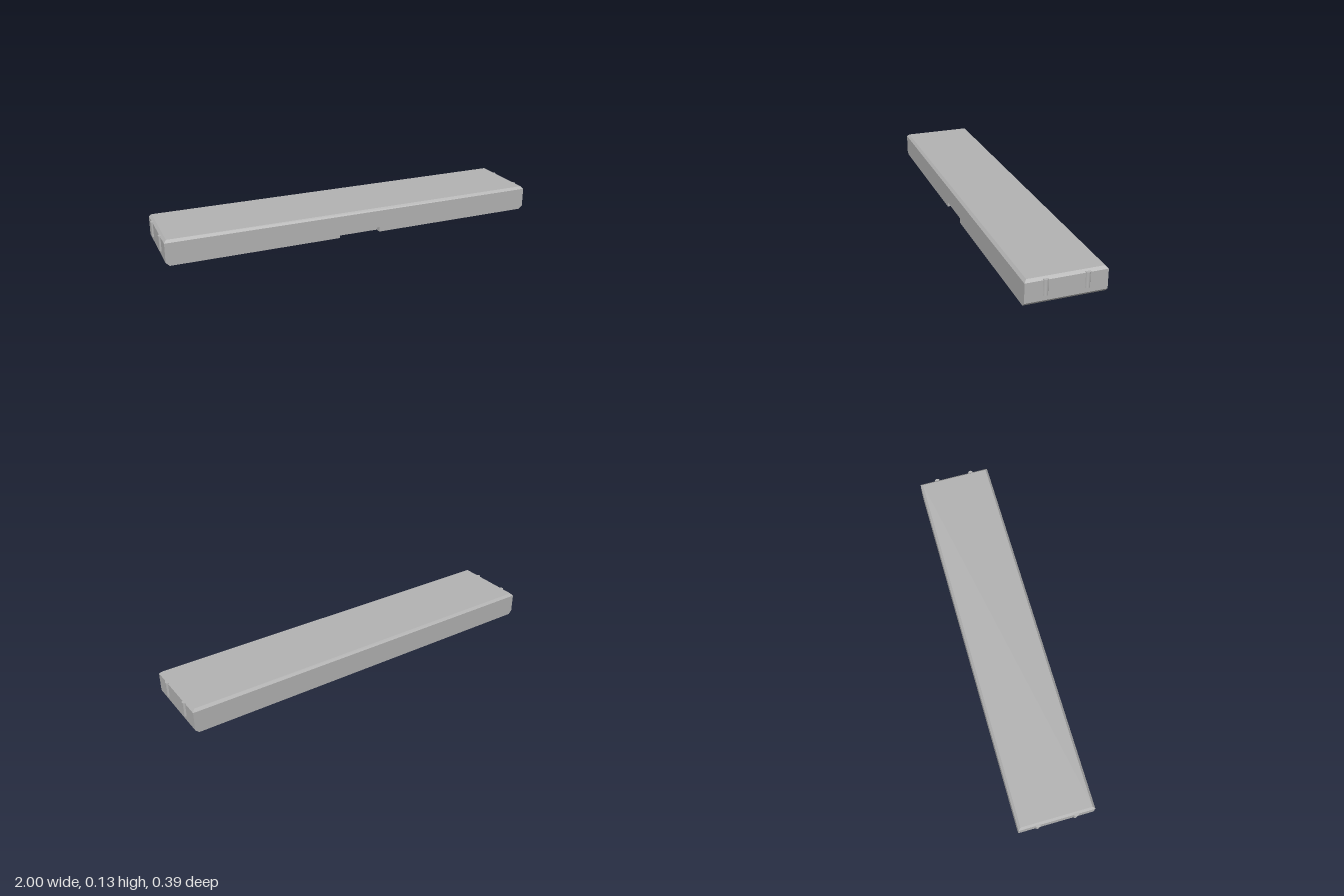
import * as THREE from 'three';

const X = 0.99, Z = 0.194;          // half length and half depth of the slab
const RECESS = 0.025;               // height of the underside cut-outs

const rect = (Type, x, z, cz = 0) => new Type([
  [-x, cz - z], [x, cz - z], [x, cz + z], [-x, cz + z],
].map(([a, b]) => new THREE.Vector2(a, b)));

// Outline of the underside: front finger notch and three long grooves
function undersideShape() {
  const n = 0.11, c = 0.03;
  const shape = new THREE.Shape([
    [-X, -Z], [-n, -Z], [-n, -Z + c], [n, -Z + c], [n, -Z], [X, -Z], [X, Z], [-X, Z],
  ].map(([a, b]) => new THREE.Vector2(a, b)));
  for (const z of [-0.105, 0, 0.105]) shape.holes.push(rect(THREE.Path, 0.94, 0.014, z));
  return shape;
}

// Horizontal slice from y0 to y1; one rim can be pulled in to form a chamfer
function slice(shape, y0, y1, rimY, insetX = 0, insetZ = 0) {
  const g = new THREE.ExtrudeGeometry(shape, { depth: y1 - y0, bevelEnabled: false });
  g.rotateX(-Math.PI / 2).translate(0, y0, 0);
  const p = g.attributes.position;
  for (let i = 0; i < p.count; i++) {
    if (rimY === undefined || Math.abs(p.getY(i) - rimY) > 1e-5) continue;
    p.setX(i, THREE.MathUtils.clamp(p.getX(i), insetX - X, X - insetX));
    p.setZ(i, THREE.MathUtils.clamp(p.getZ(i), insetZ - Z, Z - insetZ));
  }
  g.computeVertexNormals();
  return g;
}

export function createModel() {
  const group = new THREE.Group();
  const grey = new THREE.MeshStandardMaterial({ color: 0xb2b2b2 });
  grey.name = 'plain grey';

  const add = (name, geometry, x = 0, y = 0, z = 0) => {
    const mesh = new THREE.Mesh(geometry, grey);
    mesh.name = name;
    mesh.position.set(x, y, z);
    group.add(mesh);
  };

  // Slab, from the underside to the chamfered top
  const underside = undersideShape(), full = rect(THREE.Shape, X, Z);
  add('chamferedUnderside', slice(underside, 0, 0.018, 0, 0.018));
  add('groovedLayer', slice(underside, 0.018, RECESS));
  add('slabBody', slice(full, RECESS, 0.115));
  add('chamferedTop', slice(full, 0.115, 0.128, 0.128, 0.012, 0.012));

  // Upright locating pins half sunk into both ends, each with a thin collar
  for (const side of [-1, 1]) {
    for (const z of [-0.097, 0.097]) {
      const x = side * 0.9866;
      add('endPin', new THREE.CylinderGeometry(0.0117, 0.0117, 0.077, 24), x, 0.0815, z);
      add('pinCollar', new THREE.CylinderGeometry(0.0134, 0.0134, 0.003, 24), x, 0.1185, z);
    }
  }
  return group;
}
